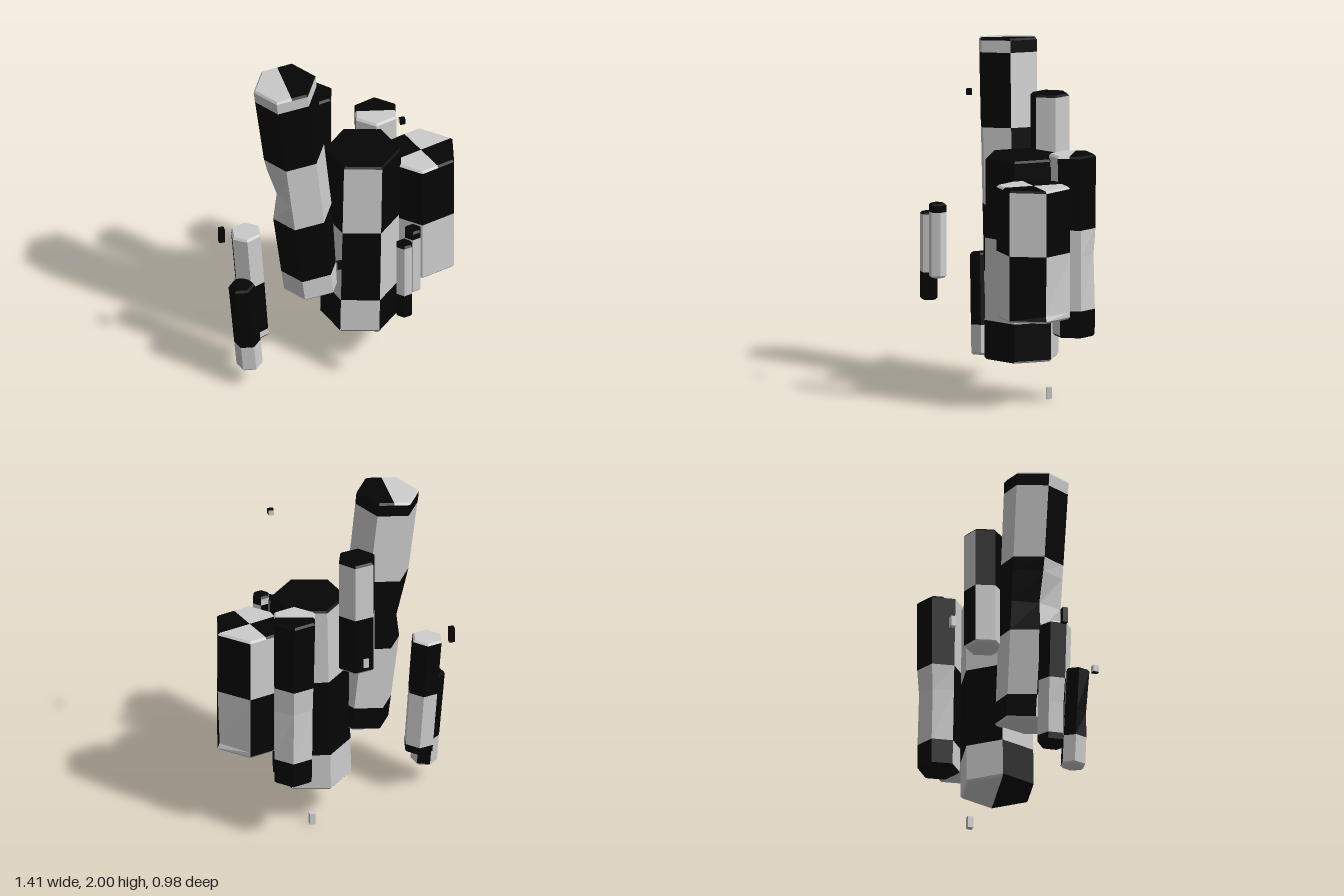
import * as THREE from 'three';

const black = new THREE.MeshStandardMaterial({ color: 0x050505 });
black.name = 'black';
const white = new THREE.MeshStandardMaterial({ color: 0xcccccc });
white.name = 'paleGrey';

// Hexagonal column with checkered sides. sides: colours of the six faces in the top band;
// each lower band swaps them. cap and base: one letter or twelve half-sector letters.
function column({ name, bot, top, r0, r1 = r0, phase, bands, sides, cap, base, dents = [] }) {
  const a = new THREE.Vector3(...bot), b = new THREE.Vector3(...top);
  const up = new THREE.Vector3(0, 1, 0);
  const tilt = new THREE.Quaternion().setFromUnitVectors(up, b.clone().sub(a).normalize());
  const len = a.distanceTo(b), bevel = 0.012;
  const tOf = (y) => (y - a.y) / (b.y - a.y);
  const place = (t, radius, angle) => new THREE.Vector3(Math.cos(angle) * radius, 0, Math.sin(angle) * radius)
    .applyQuaternion(tilt).add(a.clone().lerp(b, t));
  const corner = (t, i, inset = 0) => {
    let r = r0 + (r1 - r0) * t - inset;
    for (const [k, y, f] of dents) if (k === i % 6 && Math.abs(tOf(y) - t) < 1e-6) r *= f;
    return place(t, r, THREE.MathUtils.degToRad(phase + i * 60));
  };
  const tris = { W: [], B: [] };
  const tri = (c, ...pts) => pts.forEach((p) => tris[c].push(p.x, p.y, p.z));
  const quad = (c, b0, b1, t0, t1) => { tri(c, b1, b0, t0); tri(c, b1, t0, t1); };
  const pick = (s, k) => s[k % s.length];

  // Sides, cut at every colour band and dent
  const cuts = [...new Set([0, bevel / len, 1 - bevel / len, ...bands.map(tOf), ...dents.map((d) => tOf(d[1]))])]
    .filter((t) => t > 0).sort((p, q) => p - q);
  for (let j = 0; j < cuts.length - 1; j++) {
    const mid = (cuts[j] + cuts[j + 1]) / 2;
    const above = bands.filter((y) => tOf(y) > mid).length;
    for (let i = 0; i < 6; i++) {
      const c = (sides[i] === 'B') !== (above % 2 === 1) ? 'B' : 'W';
      quad(c, corner(cuts[j], i), corner(cuts[j], i + 1), corner(cuts[j + 1], i), corner(cuts[j + 1], i + 1));
    }
  }
  // Bevelled ends in twelve half sectors
  const lo = cuts[0], hi = cuts[cuts.length - 1];
  for (let k = 0; k < 12; k++) {
    const i = Math.floor(k / 2), f = (k % 2) / 2;
    const edge = (t, inset, g) => corner(t, i, inset).lerp(corner(t, i + 1, inset), g);
    const ct = pick(cap, k), cb = pick(base, k);
    const p0 = edge(1, bevel, f), p1 = edge(1, bevel, f + 0.5);
    const q0 = edge(0, bevel, f), q1 = edge(0, bevel, f + 0.5);
    quad(ct, edge(hi, 0, f), edge(hi, 0, f + 0.5), p0, p1);
    quad(cb, q0, q1, edge(lo, 0, f), edge(lo, 0, f + 0.5));
    tri(ct, b, p1, p0);
    tri(cb, a, q0, q1);
  }
  const geo = new THREE.BufferGeometry();
  geo.setAttribute('position', new THREE.Float32BufferAttribute([...tris.W, ...tris.B], 3));
  geo.addGroup(0, tris.W.length / 3, 0);
  geo.addGroup(tris.W.length / 3, tris.B.length / 3, 1);
  geo.computeVertexNormals();
  const mesh = new THREE.Mesh(geo, [white, black]);
  mesh.name = name;
  return mesh;
}

const columns = [
  { name: 'tallColumn', bot: [-0.155, 0.53, -0.05], top: [-0.32, 1.98, -0.045], r0: 0.165, r1: 0.182, phase: 0,
    bands: [1.9, 1.48, 1.05, 0.67], sides: 'WWWBBB', cap: 'BBBWWWWWWBBB', base: 'W', dents: [[3, 1.22, 0.76], [3, 1.4, 0.95]] },
  { name: 'mainColumn', bot: [0.13, 0.235, -0.09], top: [0.15, 1.39, -0.09], r0: 0.22, r1: 0.215, phase: 15,
    bands: [0.93, 0.46], sides: 'BWBWWB', cap: 'B', base: 'BBBBBBWWWWWW' },
  { name: 'rightColumn', bot: [0.5, 0.52, -0.13], top: [0.5, 1.275, -0.13], r0: 0.21, phase: -17,
    bands: [0.9], sides: 'WBBWWB', cap: 'BBBWWWBBBWWW', base: 'W', dents: [[0, 0.56, 0.94]] },
  { name: 'backColumn', bot: [0.31, 0.385, -0.37], top: [0.3, 1.42, -0.365], r0: 0.12, r1: 0.133, phase: -17,
    bands: [1.0, 0.54], sides: 'BWWBBB', cap: 'BWWWWWWBBBBB', base: 'B', dents: [[4, 0.85, 0.88], [5, 0.85, 0.92]] },
  { name: 'backLeaningColumn', bot: [-0.085, 1.0, -0.265], top: [-0.085, 1.7, -0.265], r0: 0.112, phase: -12,
    bands: [1.35], sides: 'WBBBWW', cap: 'B', base: 'W' },
  { name: 'outerColumn', bot: [-0.5, 0.27, -0.025], top: [-0.55, 0.99, -0.03], r0: 0.088, r1: 0.092, phase: 40,
    bands: [0.65, 0.32], sides: 'WWBBBB', cap: 'W', base: 'B', dents: [[2, 0.5, 0.92]] },
  { name: 'outerSmallColumn', bot: [-0.555, 0.13, 0.075], top: [-0.605, 0.705, 0.08], r0: 0.074, phase: 15,
    bands: [0.3], sides: 'BBBBWB', cap: 'B', base: 'W', dents: [[2, 0.45, 0.88]] },
  { name: 'frontSmallColumnA', bot: [0.243, 0.59, 0.44], top: [0.243, 1.092, 0.44], r0: 0.05, phase: -15,
    bands: [0.75], sides: 'WWWBBW', cap: 'B', base: 'B' },
  { name: 'frontSmallColumnB', bot: [0.305, 0.725, 0.395], top: [0.305, 1.15, 0.395], r0: 0.05, phase: -15,
    bands: [1.1], sides: 'BBBWWB', cap: 'B', base: 'W' },
];

// Floating fragments: centre, size, materials (+x, -x, +y, -y, +z, -z)
const twoTone = [black, white, black, black, black, white];
const fragments = [
  [[0.293, 1.78, 0.217], [0.032, 0.032, 0.032], twoTone],
  [[-0.69, 0.99, -0.035], [0.032, 0.09, 0.032], black],
  [[-0.122, 0.98, 0.4], [0.034, 0.04, 0.034], twoTone],
  [[-0.088, 1.13, -0.457], [0.032, 0.06, 0.032], [black, white, black, white, black, white]],
  [[0.168, 0.034, -0.242], [0.032, 0.068, 0.032], white],
];

export function createModel() {
  const group = new THREE.Group();
  group.name = 'columnCluster';
  columns.forEach((c) => group.add(column(c)));
  fragments.forEach(([pos, size, mat], i) => {
    const mesh = new THREE.Mesh(new THREE.BoxGeometry(...size), mat);
    mesh.position.set(...pos);
    mesh.name = `floatingFragment${i + 1}`;
    group.add(mesh);
  });
  return group;
}
